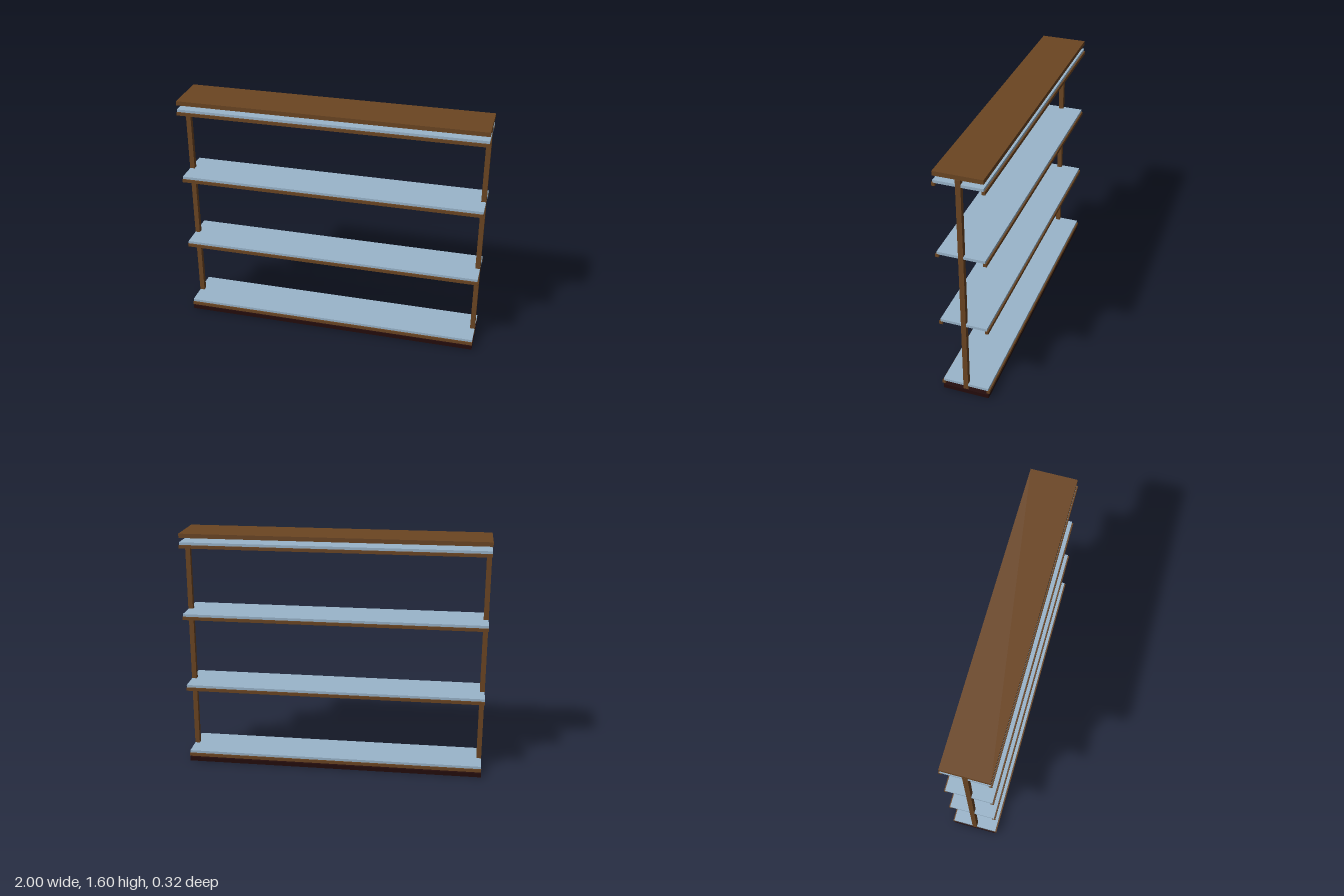
import * as THREE from 'three';

export function createModel() {
  const group = new THREE.Group();
  group.name = 'shelvingUnit';

  const material = (name, color) => {
    const m = new THREE.MeshStandardMaterial({ color });
    m.name = name;
    return m;
  };
  const wood = material('brown wood', 0x6b4522);
  const glass = material('pale blue glass', 0x9ab5cb);
  const dark = material('dark base', 0x240c0c);

  // Box placed by its bottom height
  const box = (name, mat, w, h, d, x, bottom, z, parent = group) => {
    const mesh = new THREE.Mesh(new THREE.BoxGeometry(w, h, d), mat);
    mesh.name = name;
    mesh.position.set(x, bottom + h / 2, z);
    parent.add(mesh);
  };

  // Base and top boards
  box('baseBoard', dark, 2, 0.028, 0.304, 0, 0, 0);
  box('topBoard', wood, 2, 0.028, 0.304, 0, 1.572, 0);

  // End posts, from just above the base to the top board
  for (const [name, side] of [['leftPost', 1], ['rightPost', -1]]) {
    box(name, wood, 0.032, 1.536, 0.032, side * 0.984, 0.034, 0);
  }

  // Shelves, each a thin pane on a front and a back rail
  [0.059, 0.543, 1.043, 1.525].forEach((bottom, i) => {
    const shelf = new THREE.Group();
    shelf.name = `shelf${i + 1}`;
    box('pane', glass, 1.998, 0.018, 0.3, 0, bottom, 0, shelf);
    box('frontRail', wood, 2, 0.021, 0.021, 0, bottom - 0.02, 0.148, shelf);
    box('backRail', wood, 2, 0.021, 0.021, 0, bottom - 0.02, -0.148, shelf);
    group.add(shelf);
  });

  return group;
}
